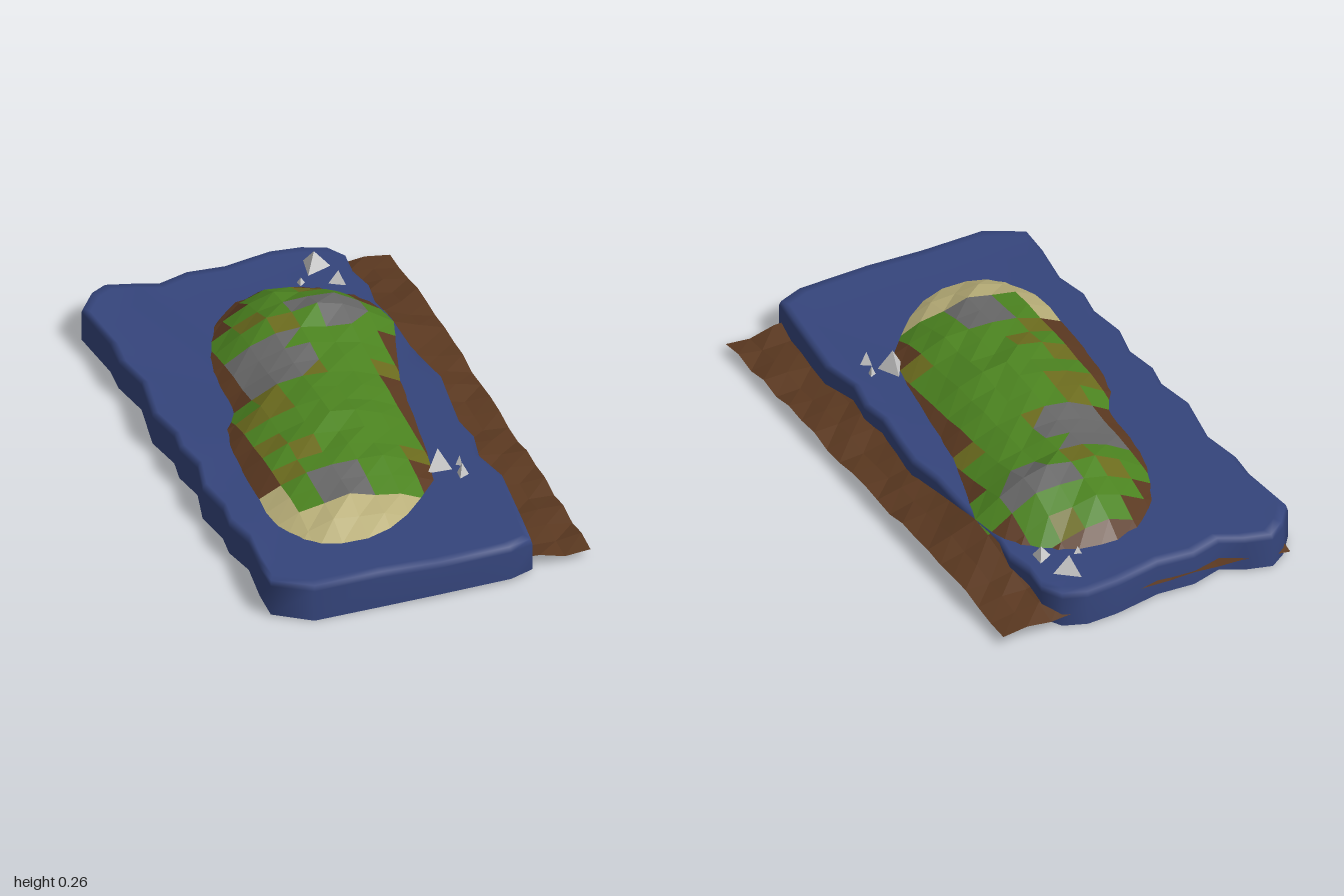
import * as THREE from 'three';

const LEVEL = 0.125;

// island rows: z, left shore, right shore, ridge height
const ROWS = [
  [-0.76, 0.0, 0.08, 0.13], [-0.72, -0.1, 0.22, 0.17], [-0.65, -0.17, 0.3, 0.2], [-0.55, -0.22, 0.36, 0.24],
  [-0.45, -0.26, 0.38, 0.25], [-0.35, -0.28, 0.34, 0.225], [-0.25, -0.29, 0.31, 0.22], [-0.1, -0.3, 0.27, 0.225],
  [0, -0.37, 0.25, 0.23], [0.2, -0.4, 0.22, 0.225], [0.3, -0.41, 0.21, 0.208], [0.4, -0.41, 0.19, 0.215],
  [0.5, -0.42, 0.17, 0.205], [0.6, -0.41, 0.08, 0.185], [0.7, -0.36, -0.02, 0.16], [0.78, -0.26, -0.18, 0.13],
];

// wavy outline of the water block: x, z
const SHORE = [
  [-0.56, -0.88], [-0.5, -0.96], [-0.44, -1], [-0.35, -0.975], [-0.27, -0.94], [-0.16, -0.975], [-0.03, -0.965],
  [0.14, -1], [0.25, -1], [0.33, -0.97], [0.37, -0.9], [0.36, -0.8], [0.38, -0.7], [0.365, -0.6], [0.38, -0.48],
  [0.38, -0.3], [0.385, -0.2], [0.405, -0.07], [0.39, 0.05], [0.37, 0.2], [0.385, 0.3], [0.36, 0.42], [0.39, 0.56],
  [0.375, 0.7], [0.36, 0.84], [0.345, 0.96], [0.26, 0.99], [0, 1], [-0.2, 0.99], [-0.43, 0.995], [-0.555, 0.92],
  [-0.55, 0.8], [-0.53, 0.64], [-0.555, 0.52], [-0.54, 0.42], [-0.56, 0.28], [-0.53, 0.15], [-0.55, 0.03],
  [-0.535, -0.06], [-0.56, -0.2], [-0.525, -0.4], [-0.55, -0.55], [-0.54, -0.66],
];

// repeatable value from -1 to 1 for a grid cell
function hash(i, j) {
  const s = Math.sin(i * 127.1 + j * 311.7) * 43758.5453;
  return (s - Math.floor(s)) * 2 - 1;
}

function rowAt(z) {
  for (let k = 0; k < ROWS.length - 1; k++) {
    const a = ROWS[k], b = ROWS[k + 1];
    if (z >= a[0] && z <= b[0]) {
      const t = (z - a[0]) / (b[0] - a[0]);
      return a.map((v, n) => THREE.MathUtils.lerp(v, b[n], t));
    }
  }
  return null;
}

const ISLAND = [...ROWS.map(r => [r[1], r[0]]), ...ROWS.map(r => [r[2], r[0]]).reverse()];

function shoreDistance(x, z) {
  const p = new THREE.Vector3(x, 0, z), q = new THREE.Vector3();
  let best = Infinity;
  ISLAND.forEach(([ax, az], i) => {
    const [bx, bz] = ISLAND[(i + 1) % ISLAND.length];
    new THREE.Line3(new THREE.Vector3(ax, 0, az), new THREE.Vector3(bx, 0, bz)).closestPointToPoint(p, true, q);
    best = Math.min(best, q.distanceTo(p));
  });
  return best;
}

// a domed ridge above the water, a falling shelf outside it
function height(x, z, i, j) {
  const row = rowAt(z);
  if (row && x > row[1] && x < row[2]) {
    const t = (x - (row[1] + row[2]) / 2) / ((row[2] - row[1]) / 2);
    const rise = 1 - t * t;
    return LEVEL + (row[3] - LEVEL) * rise + hash(i, j) * 0.012 * rise;
  }
  const fall = 1 - Math.exp(-shoreDistance(x, z) / 0.18);
  return LEVEL - 0.095 * fall + hash(i, j) * 0.013 * fall;
}

function mesh(name, geometry, color, flatShading) {
  const m = new THREE.Mesh(geometry, new THREE.MeshStandardMaterial({ color, flatShading, side: THREE.DoubleSide }));
  m.name = name;
  return m;
}

// rock outcrops: x, z, radius x, radius z
const OUTCROPS = [[0.16, -0.48, 0.13, 0.09], [-0.13, -0.24, 0.13, 0.15], [-0.16, 0.52, 0.1, 0.1]];

function groundKind(x, y, z, i, j) {
  if (y > 0.14 && OUTCROPS.some(([cx, cz, rx, rz]) => Math.hypot((x - cx) / rx, (z - cz) / rz) < 1)) return 'rock';
  if ((z > 0.59 || (z > 0.42 && x < -0.33)) && y > 0.085 && x < 0.12) return 'sand';
  if (y < 0.142) return 'earth';
  return hash(i + 40, j + 9) > 0.62 ? 'dryGrass' : 'grass';
}

// low-poly land sheet, split into one mesh per ground kind
function createLand() {
  const NX = 12, NZ = 22;
  const vertex = (i, j) => {
    const x = THREE.MathUtils.lerp(-0.515, 0.555, i / NX), z = THREE.MathUtils.lerp(-0.98, 0.94, j / NZ);
    return [x, height(x, z, i, j), z];
  };
  const colors = { grass: 0x4c8420, dryGrass: 0x6c6c1e, earth: 0x5a3820, sand: 0xb8ae78, rock: 0x686868 };
  const parts = {};
  for (let i = 0; i < NX; i++) {
    for (let j = 0; j < NZ; j++) {
      const a = vertex(i, j), b = vertex(i, j + 1), c = vertex(i + 1, j + 1), d = vertex(i + 1, j);
      const mid = [0, 1, 2].map(n => (a[n] + b[n] + c[n] + d[n]) / 4);
      const kind = groundKind(...mid, i, j);
      [[a, b, d], [b, c, d]].forEach(tri => {
        const m = [0, 1, 2].map(n => (tri[0][n] + tri[1][n] + tri[2][n]) / 3);
        const own = groundKind(...m, i, j);
        const use = own === 'rock' ? own : kind === 'rock' ? 'grass' : kind;
        (parts[use] ??= []).push(...tri.flat());
      });
    }
  }
  const land = new THREE.Group();
  land.name = 'land';
  for (const [kind, points] of Object.entries(parts)) {
    const g = new THREE.BufferGeometry();
    g.setAttribute('position', new THREE.Float32BufferAttribute(points, 3));
    g.computeVertexNormals();
    land.add(mesh(kind, g, colors[kind], true));
  }
  return land;
}

// open-bottomed water block: rings of the outline, scaled towards the middle
function createWater() {
  const rings = [[1, 0.006], [1, 0.112], [0.992, 0.13], [0.96, 0.131], [0.85, LEVEL], [0, LEVEL]];
  const n = SHORE.length, cx = -0.09, points = [], index = [];
  rings.forEach(([s, y], r) => SHORE.forEach(([x, z], k) => {
    const wave = r < 4 ? hash(Math.floor(k / 2), r === 0 ? 3 : 5) * 0.006 : 0;
    points.push(cx + (x - cx) * s, y + wave, z * s);
  }));
  for (let r = 0; r < rings.length - 1; r++) {
    for (let k = 0; k < n; k++) {
      const a = r * n + k, b = r * n + (k + 1) % n;
      index.push(a, a + n, b);
      if (r < rings.length - 2) index.push(b, a + n, b + n);
    }
  }
  const g = new THREE.BufferGeometry();
  g.setAttribute('position', new THREE.Float32BufferAttribute(points, 3));
  g.setIndex(index);
  g.computeVertexNormals();
  return mesh('water', g, 0x35457c, false);
}

// three-sided rocks standing in the water: x, z, radius, top, turn
function createSeaRocks() {
  const rocks = new THREE.Group();
  rocks.name = 'seaRocks';
  [
    [0.245, -0.86, 0.073, 0.188, 1.4], [0.29, -0.75, 0.05, 0.17, 0.5], [0.17, -0.78, 0.028, 0.15, 1.7],
    [0.205, 0.435, 0.062, 0.2, 1.0], [0.265, 0.505, 0.033, 0.172, 1.5], [0.28, 0.44, 0.022, 0.16, 0.4],
  ].forEach(([x, z, radius, top, turn]) => {
    const h = top - 0.105;
    const rock = mesh('seaRock', new THREE.ConeGeometry(radius, h, 3), 0xcccccc, true);
    rock.position.set(x, 0.105 + h / 2, z);
    rock.rotation.y = turn;
    rocks.add(rock);
  });
  return rocks;
}

export function createModel() {
  const model = new THREE.Group();
  model.name = 'island';
  model.add(createWater(), createLand(), createSeaRocks());
  return model;
}
